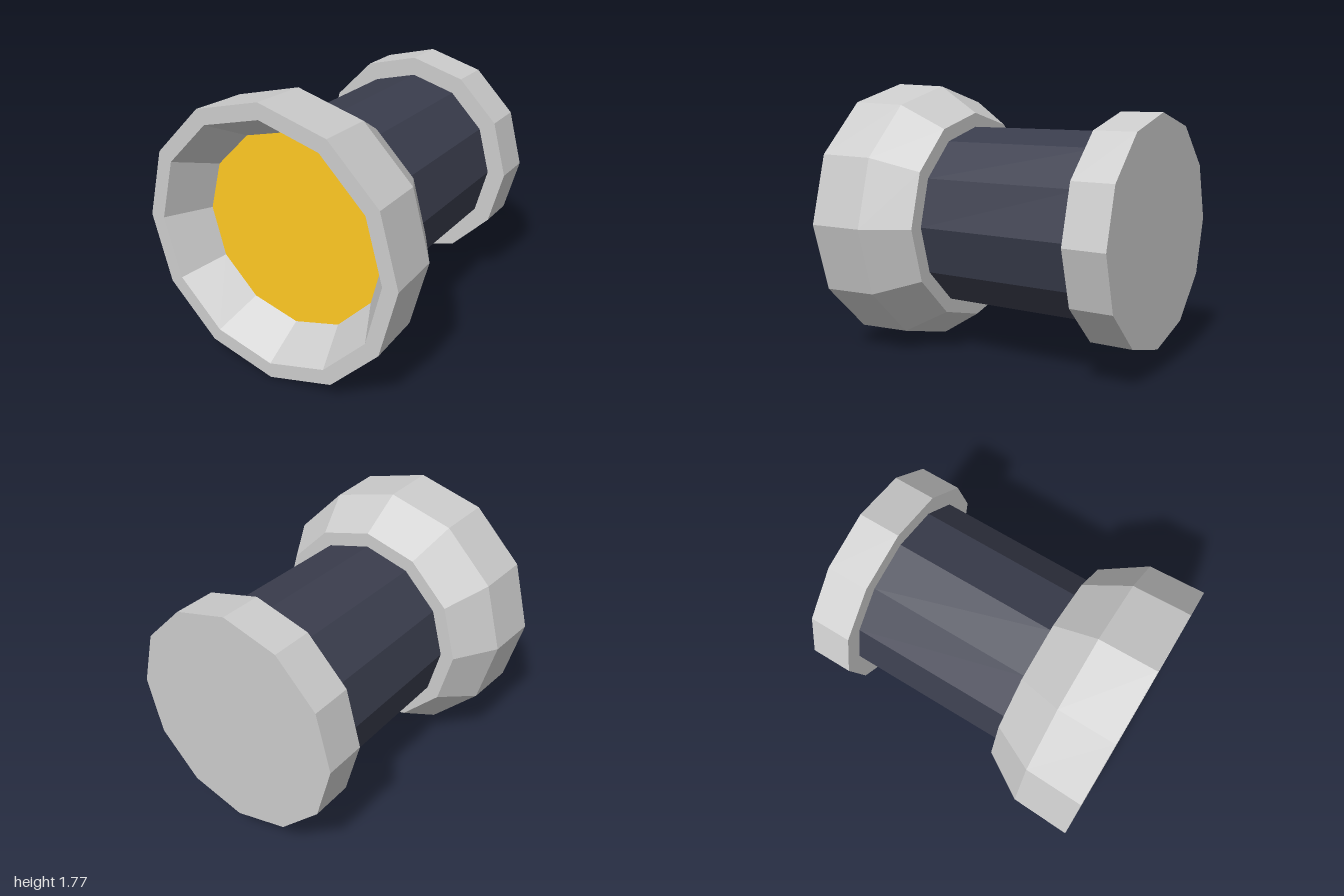
import * as THREE from 'three';

const SIDES = 12;
const CENTRE_Y = 0.887;

const material = (color) => new THREE.MeshStandardMaterial({ color, flatShading: true });

export function createModel() {
  const model = new THREE.Group();
  const grey = material(0xcccccc);
  const navy = material(0x3a3d4d);
  const gold = material(0xffc822);

  const add = (name, geometry, mat) => {
    const mesh = new THREE.Mesh(geometry, mat);
    mesh.name = name;
    mesh.position.y = CENTRE_Y;
    model.add(mesh);
  };

  // Faceted solid turned about the z axis from [radius, z] pairs, back to front
  const turned = (profile) =>
    new THREE.LatheGeometry(profile.map(([r, z]) => new THREE.Vector2(r, z)), SIDES)
      .rotateX(Math.PI / 2);

  // Flared front housing with its rim and sloping recess
  add('frontHousing', turned([
    [0, 0.35], [0.695, 0.35], [0.87, 0.63], [0.885, 1], [0.785, 1], [0.632, 0.725],
  ]), grey);

  // Flat lens at the bottom of the recess
  add('lens', new THREE.CircleGeometry(0.632, SIDES).translate(0, 0, 0.725), gold);

  // Dark body between the housing and the cap
  add('barrel', turned([[0.602, -0.725], [0.602, 0.35]]), navy);

  // Wide closed cap at the back
  add('rearCap', turned([[0, -1], [0.724, -1], [0.724, -0.725], [0, -0.725]]), grey);

  return model;
}
